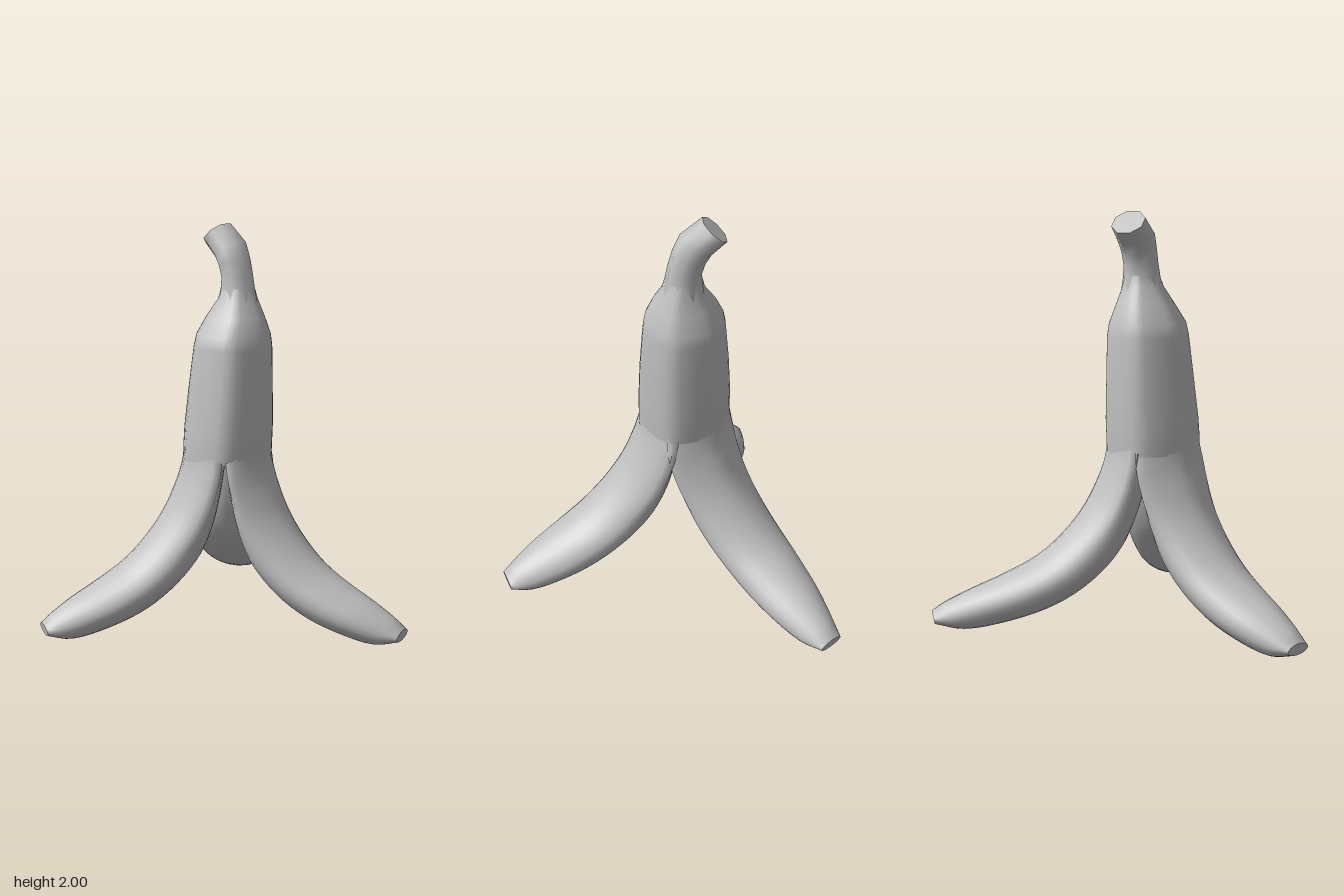
import * as THREE from 'three';

const DEG = Math.PI / 180;

// Skin a list of closed rings (arrays of Vector3); caps get their own flat normals.
function loft(rings, capStart, capEnd) {
  const n = rings[0].length, pos = [], idx = [];
  const push = (p) => pos.push(p.x, p.y, p.z) / 3 - 1;
  rings.forEach((ring) => ring.forEach(push));
  for (let i = 0; i < rings.length - 1; i++) {
    for (let j = 0; j < n; j++) {
      const k = (j + 1) % n, a = i * n, b = a + n;
      idx.push(a + j, b + j, a + k, b + j, b + k, a + k);
    }
  }
  const cap = (ring, end) => {
    const mid = ring.reduce((s, p) => s.add(p), new THREE.Vector3()).divideScalar(n);
    const c = push(mid);
    const ids = ring.map(push);
    ids.forEach((id, j) => {
      const next = ids[(j + 1) % n];
      if (end) idx.push(c, next, id);
      else idx.push(c, id, next);
    });
  };
  if (capStart) cap(rings[0], false);
  if (capEnd) cap(rings[rings.length - 1], true);
  const geo = new THREE.BufferGeometry();
  geo.setAttribute('position', new THREE.Float32BufferAttribute(pos, 3));
  geo.setIndex(idx);
  geo.computeVertexNormals();
  return geo;
}

// Softly six-ridged skin: a ridge down the middle of each strip (phi = 0) and at each split (60 deg)
const ridged = (phi) =>
  (1 - 0.06 * Math.abs(Math.sin(3 * phi))) * (1 + 0.05 * Math.sin(1.5 * phi) ** 2);

// Elliptical ring, tilted about z by t radians, starting at angle a0
function ring([cx, cy, cz, rx, rz, t = 0], sides, a0, shape) {
  return Array.from({ length: sides }, (_, j) => {
    const phi = (j / sides) * Math.PI * 2, a = phi + a0, f = shape(phi);
    const u = rx * f * Math.cos(a);
    return new THREE.Vector3(cx + u * Math.cos(t), cy + u * Math.sin(t), cz + rz * f * Math.sin(a));
  });
}

// Peel profile: outer r, outer y, inner r, inner y, half width
const PEEL = [
  [0.205, 1.0, 0.0, 1.0, 0.181],
  [0.228, 0.86, 0.0, 0.86, 0.202],
  [0.24, 0.80, 0.015, 0.77, 0.211],
  [0.266, 0.725, 0.04, 0.655, 0.211],
  [0.33, 0.592, 0.09, 0.505, 0.205],
  [0.43, 0.457, 0.165, 0.37, 0.198],
  [0.55, 0.347, 0.29, 0.23, 0.192],
  [0.70, 0.26, 0.45, 0.115, 0.178],
  [0.82, 0.198, 0.64, 0.04, 0.152],
  [0.93, 0.13, 0.84, 0.0, 0.105],
  [0.975, 0.088, 0.965, 0.03, 0.068],
];
const OUTER = new THREE.CatmullRomCurve3(PEEL.map((p) => new THREE.Vector3(p[0], p[1], p[4])));
const INNER = new THREE.CatmullRomCurve3(PEEL.map((p) => new THREE.Vector3(p[2], p[3], 0)));

// One peel strip: a third of the body that becomes a ridged oval as it curls outward
function peelGeometry(angle, stretch, bend) {
  const dir = new THREE.Vector3(Math.cos(angle), 0, Math.sin(angle));
  const side = new THREE.Vector3(-dir.z, 0, dir.x);
  const half = 62 * DEG, h = 12, steps = 40;
  const rings = [];
  for (let i = 0; i <= steps; i++) {
    const o = OUTER.getPoint(i / steps), inn = INNER.getPoint(i / steps), w = o.z;
    const t = THREE.MathUtils.clamp((o.x - 0.235) / 0.74, 0, 1);
    const s = 1 + (stretch - 1) * t;
    const blend = THREE.MathUtils.clamp((0.84 - o.y) / 0.4, 0, 1);
    rings.push(Array.from({ length: 2 * h }, (_, j) => {
      const th = (j / h) * Math.PI;
      const oval = j <= h ? 1 - 0.06 * Math.abs(Math.sin(2 * th)) : 1;
      let u, v;
      if (j <= h) {
        const phi = half * (1 - (2 * j) / h);
        u = ridged(phi) * Math.sin(phi) / Math.sin(half);
        v = ridged(phi) * Math.cos(phi);
      } else {
        const k = -1 + (2 * (j - h)) / h;
        u = ridged(half) * k;
        v = ridged(half) * Math.cos(half) * Math.abs(k);
      }
      u += (oval * Math.cos(th) - u) * blend;
      v += (0.5 + 0.5 * oval * Math.sin(th) - v) * blend;
      const r = (inn.x + (o.x - inn.x) * v) * s, y = inn.y + (o.y - inn.y) * v;
      return new THREE.Vector3(-0.13, y, 0)
        .addScaledVector(dir, r)
        .addScaledVector(side, w * u + bend * Math.sin(Math.PI * t));
    }));
  }
  return loft(rings, false, true);
}

export function createModel() {
  const model = new THREE.Group();
  model.name = 'peeledFruit';
  const grey = new THREE.MeshStandardMaterial({ color: 0xc0c0c0 });
  grey.name = 'grey';
  const add = (name, geo) => {
    const mesh = new THREE.Mesh(geo, grey);
    mesh.name = name;
    model.add(mesh);
  };

  // Closed upper body, narrowing to the neck
  const body = [
    [-0.13, 0.845, 0, 0.23, 0.23],
    [-0.129, 0.92, -0.003, 0.23, 0.23],
    [-0.128, 1.0, -0.008, 0.23, 0.228],
    [-0.124, 1.2, -0.02, 0.22, 0.213],
    [-0.12, 1.40, -0.032, 0.203, 0.2],
    [-0.118, 1.46, -0.035, 0.193, 0.188],
    [-0.115, 1.55, -0.048, 0.155, 0.14],
    [-0.112, 1.63, -0.06, 0.104, 0.102],
    [-0.114, 1.69, -0.063, 0.086, 0.083],
  ];
  add('body', loft(body.map((s) => ring(s, 36, -11 * DEG, ridged)), true, false));

  // Eight-sided stem, bent over to the right
  const stem = [
    [-0.112, 1.61, -0.06, 0.108, 0.104],
    [-0.115, 1.68, -0.063, 0.092, 0.09, 0.03],
    [-0.12, 1.745, -0.065, 0.084, 0.084, 0.13],
    [-0.138, 1.81, -0.066, 0.084, 0.086, 0.3],
    [-0.168, 1.872, -0.067, 0.087, 0.092, 0.52],
    [-0.255, 1.947, -0.067, 0.08, 0.085, 0.73],
  ];
  add('stem', loft(stem.map((s) => ring(s, 8, 22.5 * DEG, () => 1)), false, true));

  // Three peel strips: heading, length factor, sideways bend
  add('leftPeel', peelGeometry(-16 * DEG, 1.0, 0.025));
  add('backPeel', peelGeometry(234 * DEG, 1.115, -0.045));
  add('frontPeel', peelGeometry(113 * DEG, 1.0, 0));
  return model;
}
